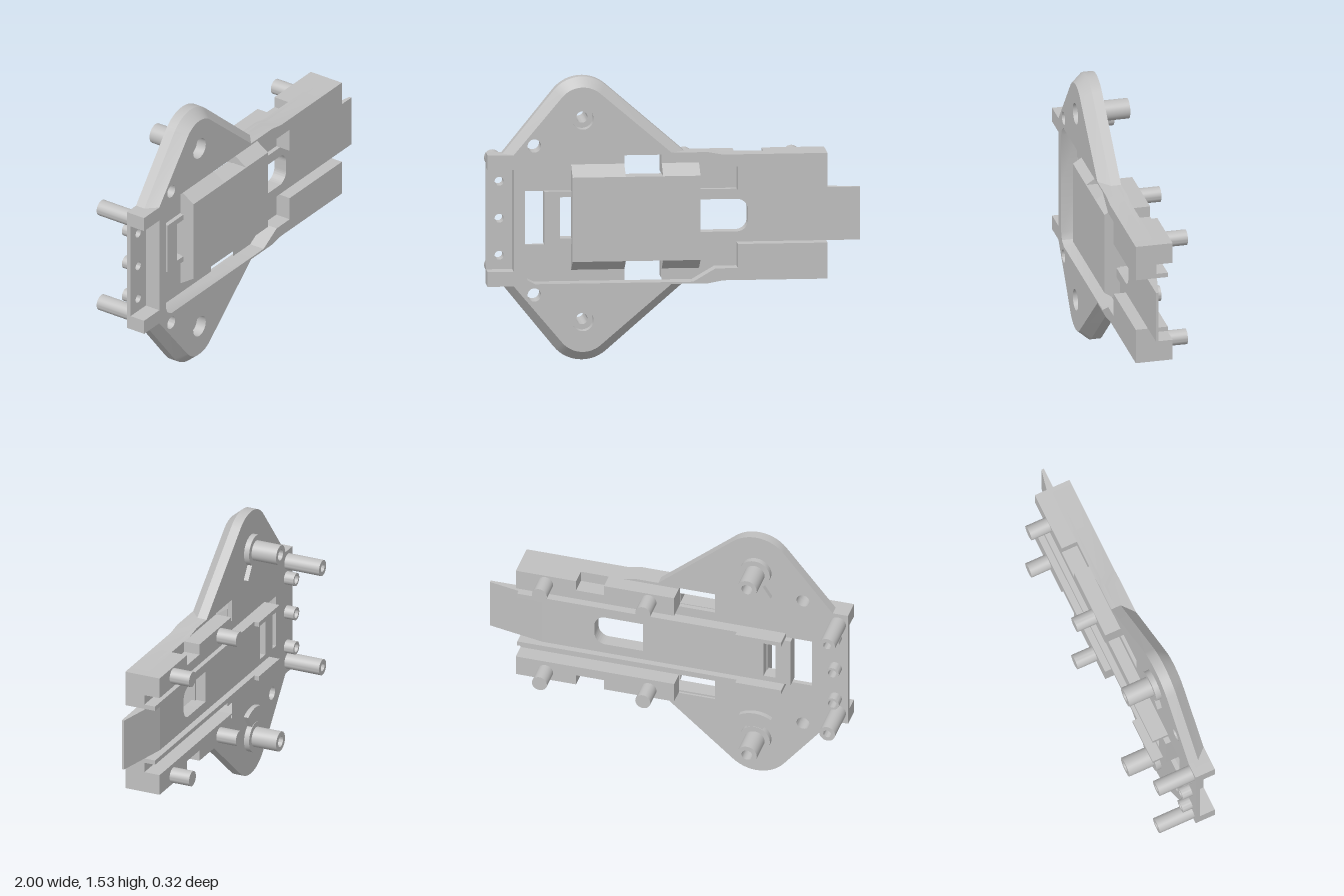
import * as THREE from 'three';
import { toCreasedNormals } from 'three/addons/utils/BufferGeometryUtils.js';

const CY = 0.77; // height of the mirror line
const FRONT = 0.158;
const FLOOR = 0.07;
const BACK = 0.045;

export function createModel() {
  const group = new THREE.Group();
  const grey = new THREE.MeshStandardMaterial({ color: 0xc0c0c0 });
  grey.name = 'light grey';

  const add = (name, geo) => {
    const mesh = new THREE.Mesh(toCreasedNormals(geo, 0.5), grey);
    mesh.name = name;
    group.add(mesh);
    return mesh;
  };
  // points are [x, distance from the mirror line]; s = 1 upper side, -1 lower side
  const poly = (pts, s = 1) => new THREE.Shape(pts.map(([x, v]) => new THREE.Vector2(x, CY + s * v)));
  const rect = (x0, x1, v0, v1, s = 1) => poly([[x0, v0], [x1, v0], [x1, v1], [x0, v1]], s);
  const circle = (x, v, r, s = 1) => {
    const p = new THREE.Shape();
    p.absarc(x, CY + s * v, r, 0, Math.PI * 2, false);
    return p;
  };
  const extrude = (shape, z0, z1) => {
    const g = new THREE.ExtrudeGeometry(shape, { depth: z1 - z0, bevelEnabled: false, curveSegments: 14 });
    return g.translate(0, 0, z0);
  };
  const plate = (name, shape, z0, z1, holes = []) => {
    shape.holes.push(...holes);
    return add(name, extrude(shape, z0, z1));
  };
  const tube = (name, x, v, s, r, bore, z0, z1) =>
    plate(name, circle(x, v, r, s), z0, z1, bore ? [circle(x, v, bore, s)] : []);

  // rounded point of the wing: an arc with tangents to the two foot points
  const wingOutline = (xl, xr, r, s) => {
    const cx = -0.49, cv = 0.57, foot = 0.355;
    const tangent = (x, side) => {
      const dx = x - cx, dv = foot - cv;
      const a = Math.atan2(dv, dx) + (side < 0 ? Math.PI * 2 : 0);
      return a + side * Math.acos(r / Math.hypot(dx, dv));
    };
    const a0 = tangent(xr, 1), a1 = tangent(xl, -1);
    const pts = [[xr, foot]];
    for (let i = 0; i <= 14; i++) {
      const a = a0 + (a1 - a0) * i / 14;
      pts.push([cx + r * Math.cos(a), cv + r * Math.sin(a)]);
    }
    pts.push([xl, foot]);
    return pts.map(([x, v]) => [x, v, CY + s * v]);
  };

  for (const s of [1, -1]) {
    // wing: straight back layer and chamfered front layer
    const outer = wingOutline(-0.915, 0.055, 0.195, s);
    const inner = wingOutline(-0.86, -0.015, 0.145, s);
    plate('wingBack', poly(outer, s), BACK, 0.1, [circle(-0.49, 0.545, 0.03, s), circle(-0.75, 0.403, 0.036, s)]);
    const front = poly(outer, s);
    front.holes.push(circle(-0.49, 0.545, 0.058, s), circle(-0.75, 0.403, 0.036, s));
    const geo = extrude(front, 0.1, FRONT);
    const pos = geo.attributes.position;
    for (let i = 0; i < pos.count; i++) {
      if (pos.getZ(i) < 0.15) continue;
      const k = outer.findIndex(p => Math.hypot(p[0] - pos.getX(i), p[2] - pos.getY(i)) < 1e-4);
      if (k >= 0) pos.setXY(i, inner[k][0], inner[k][2]);
    }
    add('wingFront', geo);

    // screw boss with its foot and fan-shaped pad
    tube('boss', -0.49, 0.545, s, 0.055, 0.03, -0.13, BACK);
    tube('bossFoot', -0.49, 0.545, s, 0.085, 0.03, 0.015, BACK);
    const fan = [];
    for (let i = 0; i <= 10; i++) {
      const a = -Math.PI / 2 + (i / 5 - 1) * 0.55;
      fan.push([-0.49 + 0.17 * Math.cos(a), 0.545 + 0.17 * Math.sin(a)]);
    }
    fan.push([-0.45, 0.475], [-0.53, 0.475]);
    plate('bossFan', poly(fan, s), 0.018, BACK);

    // raised rim around the recess, with end arm and rail face
    plate('rim', poly([[-1, 0.275], [-0.86, 0.275], [-0.86, 0], [-0.8, 0], [-0.8, 0.285], [-0.785, 0.325],
      [-0.745, 0.345], [0.1, 0.345], [0.22, 0.275], [0.34, 0.275], [0.34, 0.145], [0.82, 0.145],
      [0.82, 0.34], [0.26, 0.34], [0.18, 0.355], [-1, 0.355]], s), FLOOR, FRONT);
    plate('recessFloor', poly([[-0.8, 0.145], [0.82, 0.145], [0.82, 0.34], [0.26, 0.34], [0.18, 0.355], [-0.8, 0.355]], s),
      BACK, FLOOR, [rect(-0.26, -0.06, 0.225, 0.345, s)]);

    // back rails: notched outer rail, inner lip and lip lug
    plate('outerRail', poly([[-0.06, 0.225], [0.82, 0.225], [0.82, 0.34], [0.485, 0.34], [0.485, 0.28],
      [0.33, 0.28], [0.33, 0.34], [-0.06, 0.34]], s), -0.045, BACK);
    plate('innerLip', rect(-0.655, 0.82, 0.145, 0.17, s), -0.018, BACK);
    plate('lipLug', rect(-0.655, -0.4, 0.145, 0.17, s), -0.045, -0.018);

    // pegs and end tubes
    for (const x of [0.08, 0.655]) tube('railPeg', x, 0.29, s, 0.042, 0, -0.16, -0.045);
    tube('longTube', -0.945, 0.29, s, 0.044, 0.022, -0.16, BACK);
    tube('shortTube', -0.93, 0.2, s, 0.036, 0.024, -0.012, BACK);
  }

  // thin end strip with three holes
  plate('endStrip', rect(-1, -0.8, -0.355, 0.355), BACK, FLOOR, [-0.2, 0, 0.2].map(v => circle(-0.93, v, 0.024)));
  tube('shortTube', -0.93, 0, 1, 0.036, 0.024, -0.012, BACK);

  // sliding tongue with round-ended slot and wedge tip
  const slot = new THREE.Path();
  slot.moveTo(0.13, CY - 0.088);
  slot.lineTo(0.34, CY - 0.088);
  slot.absarc(0.34, CY - 0.028, 0.06, -Math.PI / 2, 0, false);
  slot.absarc(0.34, CY + 0.028, 0.06, 0, Math.PI / 2, false);
  slot.lineTo(0.13, CY + 0.088);
  slot.closePath();
  plate('tongue', rect(-0.69, 0.69, -0.143, 0.143), 0.015, 0.092, [slot, rect(-0.605, -0.54, -0.112, 0.112)]);

  const prism = (pts, length) => new THREE.ExtrudeGeometry(
    new THREE.Shape(pts.map(p => new THREE.Vector2(...p))), { depth: length, bevelEnabled: false });
  // profile drawn in x and -z, extruded upward
  add('tongueTip', prism([[0.69, -0.092], [1, -0.092], [1, -0.078], [0.69, -0.015]], 0.286)
    .rotateX(-Math.PI / 2).translate(0, CY - 0.143, 0));

  // pad: two chamfered ends joined by a narrower middle
  for (const [x0, x1] of [[-0.545, -0.26], [-0.06, 0.14]]) {
    // profile drawn in -z and y, extruded along x
    add('padEnd', prism([[-0.072, -0.285], [-0.072, 0.285], [-FRONT, 0.228], [-FRONT, -0.228]], x1 - x0)
      .rotateY(Math.PI / 2).translate(x0, CY, 0));
  }
  plate('padMiddle', rect(-0.26, -0.06, -0.228, 0.228), 0.072, FRONT);

  return group;
}
